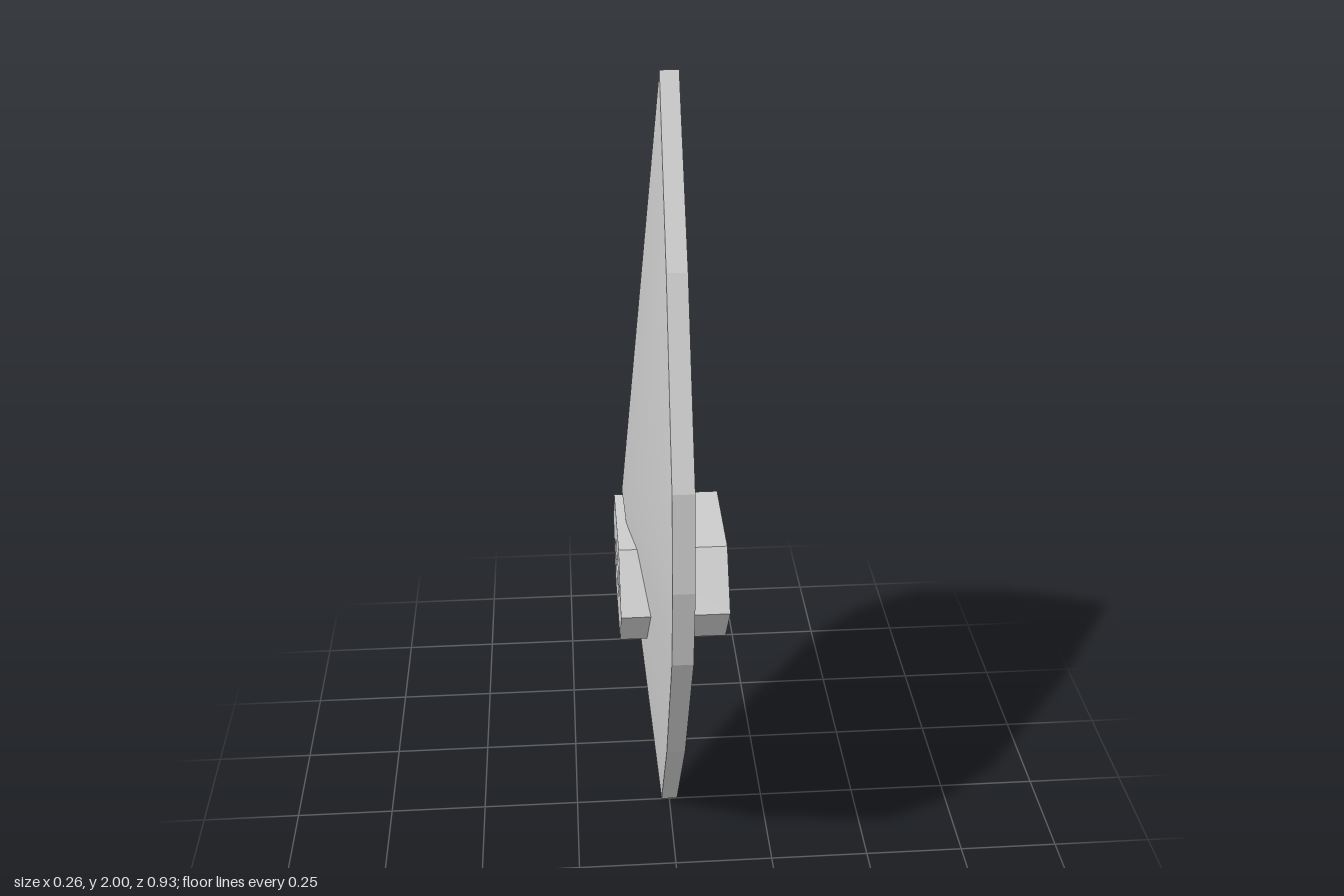
import * as THREE from 'three';

const smooth = new THREE.MeshStandardMaterial({ color: 0xcccccc, side: THREE.DoubleSide });
const flat = new THREE.MeshStandardMaterial({ color: 0xcccccc, side: THREE.DoubleSide, flatShading: true });

// Closed strip between two x positions, following an outline of [z, y] points.
// x0 and x1 are functions of z.
function band(outline, x0, x1) {
  const pos = [], index = [], n = outline.length;
  outline.forEach(([z, y]) => pos.push(x0(z), y, z, x1(z), y, z));
  for (let i = 0; i < n; i++) {
    const a = 2 * i, b = 2 * ((i + 1) % n);
    index.push(a, a + 1, b, b, a + 1, b + 1);
  }
  return build(pos, index);
}

function build(pos, index) {
  const g = new THREE.BufferGeometry();
  g.setAttribute('position', new THREE.Float32BufferAttribute(pos, 3));
  g.setIndex(index);
  g.computeVertexNormals();
  return g;
}

// Flat panel facing -x, with an optional hole
function panel(outline, x, hole) {
  const points = (o) => o.map(([z, y]) => new THREE.Vector2(z, y));
  const shape = new THREE.Shape(points(outline));
  if (hole) shape.holes.push(new THREE.Path(points(hole)));
  return new THREE.ShapeGeometry(shape).rotateY(-Math.PI / 2).translate(x, 0, 0);
}

// Hexagon with points at the sides
function hexagon(cy, halfWidth, halfFlat, halfHeight) {
  return [
    [halfWidth, cy], [halfFlat, cy + halfHeight], [-halfFlat, cy + halfHeight],
    [-halfWidth, cy], [-halfFlat, cy - halfHeight], [halfFlat, cy - halfHeight],
  ];
}

export function createModel() {
  const model = new THREE.Group();
  const add = (name, geometry, material) => {
    const mesh = new THREE.Mesh(geometry, material);
    mesh.name = name;
    model.add(mesh);
  };

  // Leaf-shaped outline, one half mirrored to the other
  const half = [[0.24, 1.64], [0.44, 1.22], [0.467, 0.985], [0.44, 0.775], [0.24, 0.36]];
  const mirrored = half.map(([z, y]) => [-z, y]).reverse();
  const leaf = [[0, 2], ...half, [0, 0], ...mirrored];
  const edge = (z) => 0.021 + 0.004 * Math.abs(z) / 0.467;

  // Shallow domed shell, open and hollow toward +x
  const pos = [-0.115, 0.98, 0], index = [];
  leaf.forEach(([z, y], i) => {
    pos.push(-edge(z), y, z);
    index.push(0, i + 1, ((i + 1) % leaf.length) + 1);
  });
  add('shieldShell', build(pos, index), smooth);
  add('shieldRim', band(leaf, (z) => -edge(z), edge), flat);

  // Hexagonal sleeve through the shell, open on the hollow side
  const outer = hexagon(0.76, 0.225, 0.13, 0.13);
  const slot = hexagon(0.76, 0.107, 0.085, 0.035);
  add('gripSleeve', band(outer, () => -0.13, () => 0.13), flat);
  add('gripCap', panel(outer, -0.13, slot), flat);

  // Recessed slot in the cap
  add('slotWalls', band(slot, () => -0.13, () => -0.06), flat);
  add('slotFloor', panel(slot, -0.06), flat);

  return model;
}
